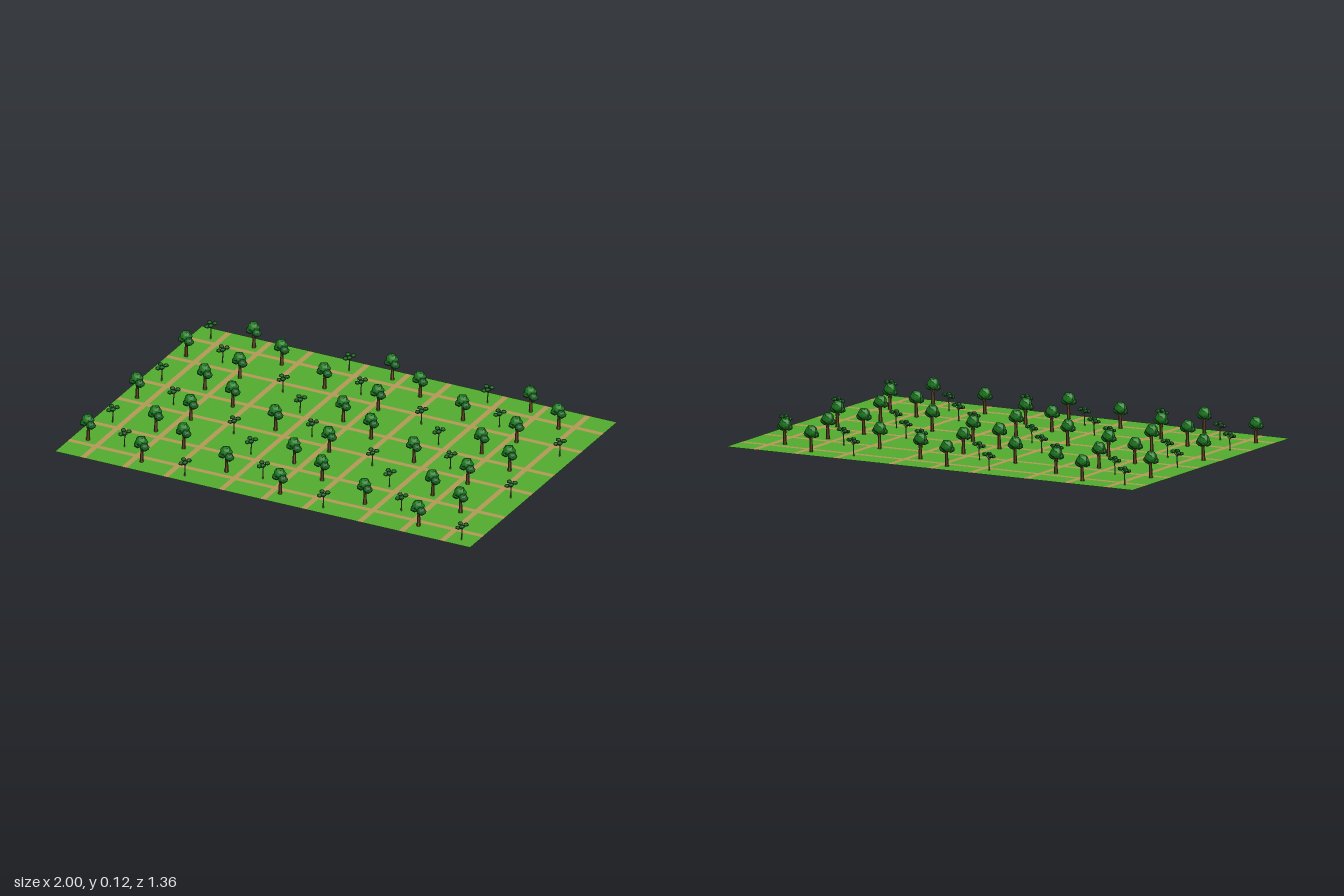
import * as THREE from 'three';
import { mergeGeometries } from 'three/addons/utils/BufferGeometryUtils.js';

const mat = (color, extra = {}) => new THREE.MeshStandardMaterial({ color, flatShading: true, ...extra });
const grass = mat(0x52ad2e, { side: THREE.DoubleSide });
const dirt = mat(0xb59a58, { side: THREE.DoubleSide });
const bark = mat(0x6a4d2a);
const paleBark = mat(0x7d6a4c);
const leaf = mat(0x1c7a20);
const darkLeaf = mat(0x14601f);

const W = 2, D = 1.36, TX = W / 3, TZ = D / 3, PATH = 0.025;

function mesh(name, geometry, material) {
  const m = new THREE.Mesh(geometry, material);
  m.name = name;
  return m;
}

// Faceted leaf clump with a slightly bumpy surface
function clump([x, y, z, rx, ry, rz]) {
  const g = new THREE.IcosahedronGeometry(1, 1);
  const p = g.attributes.position, v = new THREE.Vector3();
  for (let i = 0; i < p.count; i++) {
    v.fromBufferAttribute(p, i);
    v.multiplyScalar(1 + 0.08 * Math.sin(v.x * 7 + v.y * 5 + v.z * 9));
    p.setXYZ(i, v.x, v.y, v.z);
  }
  g.scale(rx, ry, rz);
  g.translate(x, y, z);
  return g;
}
const clumps = (list) => mergeGeometries(list.map(clump));

// Tapered limb between two points
function limb(a, b, r0, r1, sides = 6) {
  const A = new THREE.Vector3(...a), B = new THREE.Vector3(...b);
  const dir = B.clone().sub(A), len = dir.length();
  const g = new THREE.CylinderGeometry(r1, r0, len, sides);
  g.applyQuaternion(new THREE.Quaternion().setFromUnitVectors(new THREE.Vector3(0, 1, 0), dir.normalize()));
  const c = A.add(B).multiplyScalar(0.5);
  return g.translate(c.x, c.y, c.z);
}

// Broad tree: leaning trunk with two forks
const bigTrunk = mergeGeometries([
  limb([0, 0, 0.002], [-0.002, 0.055, -0.004], 0.0085, 0.006),
  limb([-0.002, 0.05, -0.003], [-0.008, 0.085, -0.008], 0.006, 0.004),
  limb([-0.001, 0.045, -0.003], [0.015, 0.07, 0.009], 0.005, 0.003),
]);
const bigTop = clumps([[-0.006, 0.092, -0.006, 0.028, 0.026, 0.024]]);
const bigSides = clumps([
  [0.017, 0.077, 0.009, 0.021, 0.019, 0.019],
  [-0.02, 0.077, 0.001, 0.018, 0.015, 0.017],
]);

// Slender tree: thin stem with twigs to four small clumps
const tufts = [
  [-0.015, 0.067, -0.014, 0.012, 0.008, 0.011],
  [0.015, 0.071, -0.008, 0.012, 0.008, 0.011],
  [-0.012, 0.06, 0.014, 0.012, 0.008, 0.011],
  [0.008, 0.07, 0.017, 0.012, 0.008, 0.012],
];
const smallStem = mergeGeometries([
  limb([0, 0, 0.004], [0, 0.052, 0], 0.003, 0.002, 5),
  ...tufts.map(([x, y, z]) => limb([0, 0.048, 0], [x, y, z], 0.002, 0.0012, 4)),
]);
const smallLeaves = clumps(tufts);

function bigTree() {
  const g = new THREE.Group();
  g.name = 'broadTree';
  g.add(mesh('trunk', bigTrunk, bark), mesh('crown', bigTop, leaf), mesh('sideLeaves', bigSides, darkLeaf));
  return g;
}

function smallTree() {
  const g = new THREE.Group();
  g.name = 'slenderTree';
  g.add(mesh('stem', smallStem, paleBark), mesh('leafTufts', smallLeaves, darkLeaf));
  return g;
}

// Edges of the strips along one axis; every odd strip is a path
function stripEdges(start, period, centres) {
  const edges = [start];
  for (let t = 0; t < 3; t++)
    for (const c of centres) edges.push(start + t * period + c - PATH / 2, start + t * period + c + PATH / 2);
  edges.push(-start);
  return edges;
}

// Flat ground made of grass cells and the path strips between them
function ground() {
  const xs = stripEdges(-W / 2, TX, [0.133, 0.333, 0.53]);
  const zs = stripEdges(-D / 2, TZ, [0.13, 0.328]);
  const cells = { grass: [], path: [] };
  for (let i = 0; i < xs.length - 1; i++)
    for (let j = 0; j < zs.length - 1; j++) {
      const g = new THREE.PlaneGeometry(xs[i + 1] - xs[i], zs[j + 1] - zs[j]).rotateX(-Math.PI / 2);
      g.translate((xs[i] + xs[i + 1]) / 2, 0, (zs[j] + zs[j + 1]) / 2);
      cells[i % 2 || j % 2 ? 'path' : 'grass'].push(g);
    }
  const group = new THREE.Group();
  group.name = 'ground';
  group.add(mesh('grass', mergeGeometries(cells.grass), grass), mesh('paths', mergeGeometries(cells.path), dirt));
  return group;
}

export function createModel() {
  const model = new THREE.Group();
  model.name = 'orchardField';
  model.add(ground());

  // Tree positions within one plot, repeated over 3 x 3 plots
  const big = [[0.293, 0.08], [0.475, 0.172], [0.075, 0.288], [0.375, 0.368]];
  const small = [[0.09, 0.088], [0.242, 0.27], [0.6, 0.4]];
  for (let i = 0; i < 3; i++)
    for (let j = 0; j < 3; j++) {
      const place = (make) => ([x, z]) => {
        const tree = make();
        tree.position.set(-W / 2 + i * TX + x, 0, -D / 2 + j * TZ + z);
        model.add(tree);
      };
      big.forEach(place(bigTree));
      small.forEach(place(smallTree));
    }
  return model;
}
